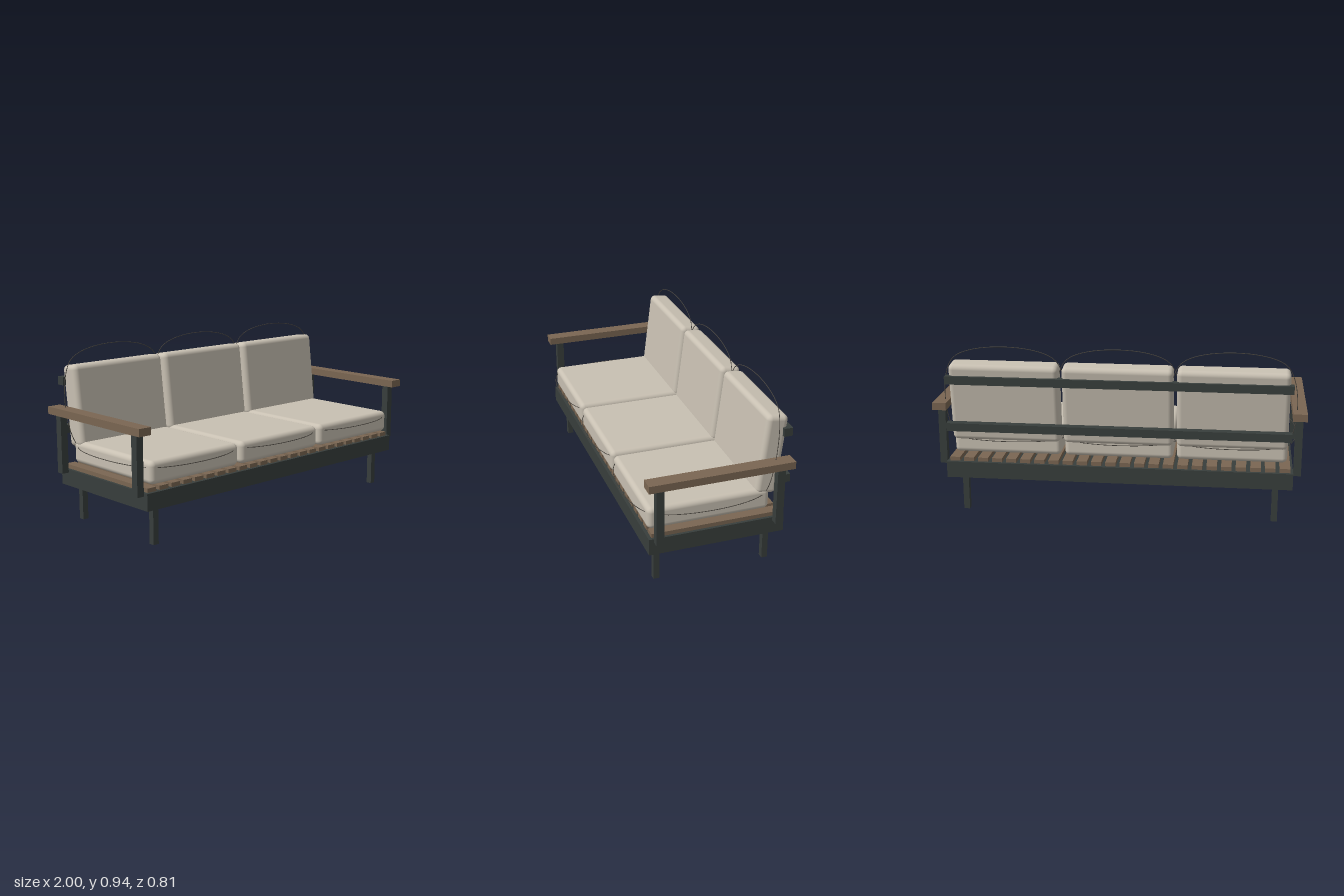
import * as THREE from 'three';
import { RoundedBoxGeometry } from 'three/addons/geometries/RoundedBoxGeometry.js';

const metal = new THREE.MeshStandardMaterial({ color: 0x383e3c });
const wood = new THREE.MeshStandardMaterial({ color: 0x7a6652 });
const fabric = new THREE.MeshStandardMaterial({ color: 0xc8c0b2 });
const cord = new THREE.MeshStandardMaterial({ color: 0x4a4640 });

// Box given by its min and max on each axis
function box(name, material, [x0, x1], [y0, y1], [z0, z1]) {
  const mesh = new THREE.Mesh(new THREE.BoxGeometry(x1 - x0, y1 - y0, z1 - z0), material);
  mesh.position.set((x0 + x1) / 2, (y0 + y1) / 2, (z0 + z1) / 2);
  mesh.name = name;
  return mesh;
}

// Soft cushion centred on the origin
function cushion(name, w, h, d) {
  const mesh = new THREE.Mesh(new RoundedBoxGeometry(w, h, d, 5, 0.027), fabric);
  mesh.name = name;
  return mesh;
}

// Thin closed cord bowing outward between four corners
function piping(name, corners) {
  const curve = new THREE.CatmullRomCurve3(corners.map((c) => new THREE.Vector3(...c)), true);
  const mesh = new THREE.Mesh(new THREE.TubeGeometry(curve, 80, 0.002, 6, true), cord);
  mesh.name = name;
  return mesh;
}

export function createModel() {
  const sofa = new THREE.Group();
  sofa.name = 'sofa';

  // Base
  sofa.add(box('baseFrame', metal, [-0.94, 0.94], [0.2, 0.29], [-0.375, 0.35]));

  // Slats running front to back
  const slatCount = 24;
  for (let i = 0; i < slatCount; i++) {
    const x = (i - (slatCount - 1) / 2) * 0.078;
    sofa.add(box('slat', wood, [x - 0.028, x + 0.028], [0.288, 0.312], [-0.357, 0.333]));
  }

  // Legs, arm posts and armrests on both sides
  for (const s of [-1, 1]) {
    const span = (a, b) => (s > 0 ? [a, b] : [-b, -a]);
    sofa.add(box('frontLeg', metal, span(0.833, 0.866), [0, 0.2], [0.27, 0.302]));
    sofa.add(box('backLeg', metal, span(0.833, 0.866), [0, 0.2], [-0.329, -0.297]));
    sofa.add(box('frontArmPost', metal, span(0.941, 0.981), [0.273, 0.59], [0.284, 0.325]));
    sofa.add(box('backArmPost', metal, span(0.941, 0.981), [0.273, 0.59], [-0.352, -0.311]));
    sofa.add(box('armrest', wood, span(0.925, 1), [0.588, 0.628], [-0.396, 0.37]));
  }

  // Back rails
  for (const y of [0.497, 0.757]) {
    sofa.add(box('backRail', metal, [-0.925, 0.925], [y - 0.022, y + 0.022], [-0.405, -0.359]));
  }

  // Three seats, each with a seat and a leaning back cushion
  for (const x of [-0.612, 0, 0.612]) {
    const seat = new THREE.Group();
    seat.name = 'seat';
    seat.position.set(x, 0.384, 0.02);
    seat.add(cushion('seatCushion', 0.592, 0.12, 0.652));
    seat.add(piping('seatPiping', [
      [-0.276, 0.027, 0.309], [0.276, 0.027, 0.309],
      [0.276, 0.027, -0.309], [-0.276, 0.027, -0.309],
    ]));

    const back = new THREE.Group();
    back.name = 'backrest';
    back.position.set(x, 0.628, -0.31);
    back.rotation.x = -0.12;
    back.add(cushion('backCushion', 0.592, 0.435, 0.115));
    back.add(piping('backPiping', [
      [-0.276, -0.22, 0], [0.276, -0.22, 0], [0.276, 0.243, 0], [-0.276, 0.243, 0],
    ]));
    sofa.add(seat, back);
  }

  return sofa;
}
